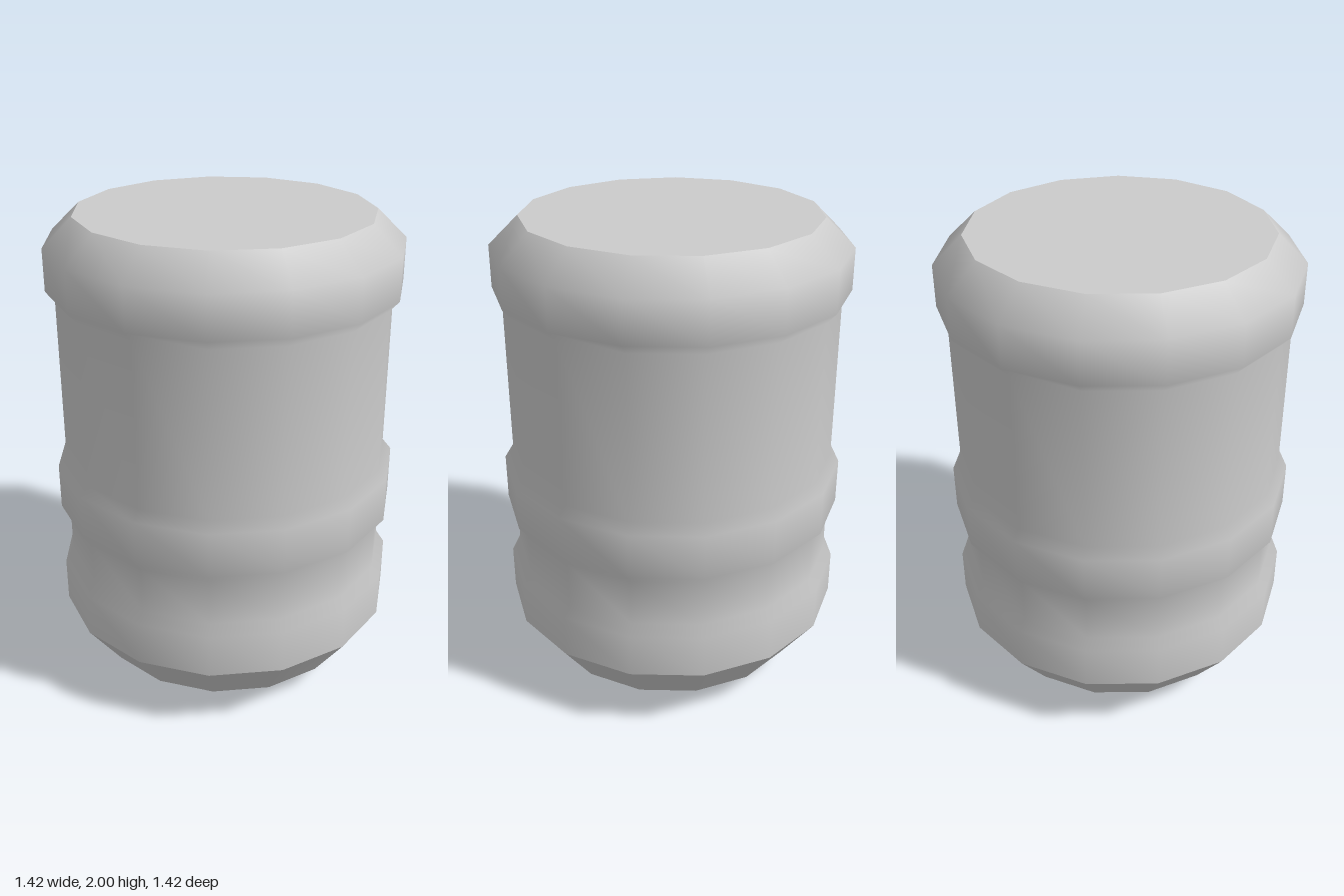
import * as THREE from 'three';

const SIDES = 15;
const R = 0.716;     // raised bands
const BODY = 0.68;   // recessed wall

export function createModel() {
  const group = new THREE.Group();
  const material = new THREE.MeshStandardMaterial({ color: 0xcccccc });

  // Revolves a profile of [radius, height], listed bottom to top; one corner points to +x.
  const turn = (name, profile) => {
    const points = profile.map(([r, y]) => new THREE.Vector2(r, y));
    const mesh = new THREE.Mesh(new THREE.LatheGeometry(points, SIDES, Math.PI / 2), material);
    mesh.name = name;
    mesh.position.x = -0.008; // an odd polygon is off-centre by its nature
    group.add(mesh);
  };

  // Rounded foot, with a hard edge between its rings
  turn('bottomCap', [[0, 0], [0.42, 0]]);
  turn('lowerFoot', [[0.42, 0], [0.57, 0.1]]);
  turn('upperFoot', [[0.57, 0.1], [R, 0.3]]);

  // Wall with three raised bands, softly shaded over the chamfers
  turn('barrelWall', [
    [R, 0.3], [R, 0.485], [BODY, 0.525],
    [BODY, 0.725], [R, 0.765], [R, 0.955], [BODY, 0.995],
    [BODY, 1.675], [R, 1.715], [R, 1.885], [0.597, 2],
  ]);

  // Flat lid
  turn('topCap', [[0.597, 2], [0, 2]]);

  return group;
}
